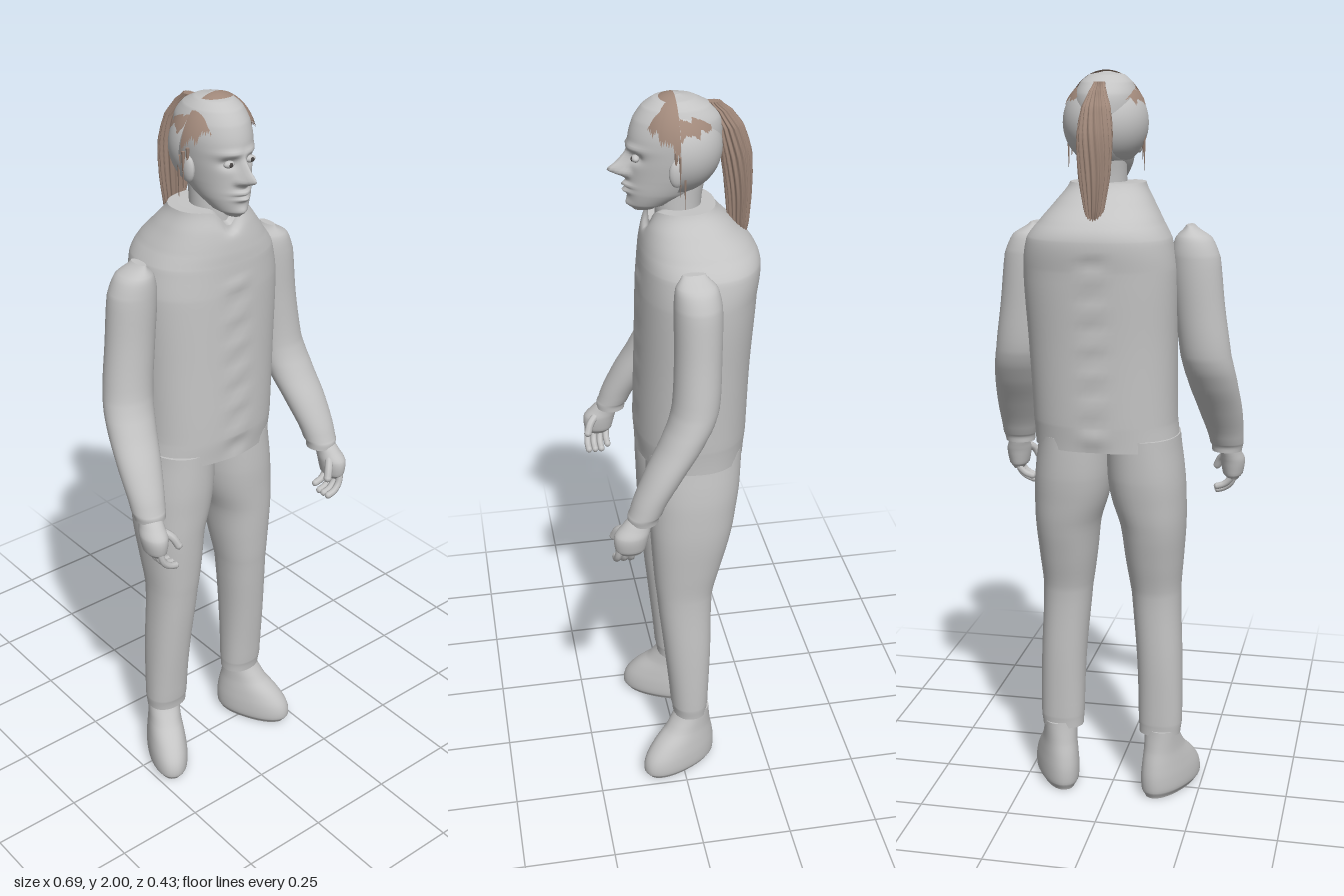
import * as THREE from 'three';

const mat = (name, color, side = THREE.FrontSide) =>
  Object.assign(new THREE.MeshStandardMaterial({ color, side }), { name });

const gauss = (d, s) => Math.exp(-((d / s) ** 2));

// Smooth surface through horizontal sections [y, x0, x1, z0, z1], listed bottom to top
function loft(sections, { power = 2, seg = 40, steps = 5, warp } = {}) {
  const rows = [];
  const n = sections.length;
  for (let i = 0; i < n - 1; i++) {
    const [p, a, b, c] = [sections[Math.max(i - 1, 0)], sections[i], sections[i + 1], sections[Math.min(i + 2, n - 1)]];
    for (let k = 0; k < steps + (i === n - 2 ? 1 : 0); k++) {
      const t = k / steps;
      rows.push(a.map((v, j) => j === 0 ? v + (b[0] - v) * t :
        0.5 * (2 * v + (b[j] - p[j]) * t + (2 * p[j] - 5 * v + 4 * b[j] - c[j]) * t * t + (3 * v - p[j] - 3 * b[j] + c[j]) * t * t * t)));
    }
  }
  const pos = [], idx = [], v = new THREE.Vector3();
  const round = (q) => Math.sign(q) * Math.pow(Math.abs(q), 2 / power);
  const ring = ([y, x0, x1, z0, z1]) => {
    for (let s = 0; s < seg; s++) {
      const a = s / seg * Math.PI * 2;
      v.set((x0 + x1) / 2 + round(Math.cos(a)) * (x1 - x0) / 2, y, (z0 + z1) / 2 + round(Math.sin(a)) * (z1 - z0) / 2);
      if (warp) warp(v, a);
      pos.push(v.x, v.y, v.z);
    }
  };
  rows.forEach(ring);
  for (let r = 0; r < rows.length - 1; r++) {
    for (let s = 0; s < seg; s++) {
      const a = r * seg + s, b = r * seg + (s + 1) % seg;
      idx.push(a, a + seg, b, b, a + seg, b + seg);
    }
  }
  // End caps with their own rings, so rims stay sharp
  [rows[0], rows[rows.length - 1]].forEach((row, top) => {
    const base = pos.length / 3;
    ring(row);
    pos.push((row[1] + row[2]) / 2, row[0], (row[3] + row[4]) / 2);
    for (let s = 0; s < seg; s++) {
      const a = base + s, b = base + (s + 1) % seg;
      idx.push(base + seg, top ? b : a, top ? a : b);
    }
  });
  const g = new THREE.BufferGeometry();
  g.setAttribute('position', new THREE.Float32BufferAttribute(pos, 3));
  g.setIndex(idx);
  g.computeVertexNormals();
  return g;
}

const mirror = (sections, s) => s > 0 ? sections : sections.map(([y, a, b, c, d]) => [y, -b, -a, c, d]);

// Sections symmetric about the head axis: [y, halfWidth, z0, z1]
const CX = 0.016;
const centred = (list) => list.map(([y, w, z0, z1]) => [y, CX - w, CX + w, z0, z1]);

// Patch of an ellipsoid, its upper and lower edges given by functions of the angle
function capPatch(radii, phi0, phiLen, thetaTop, thetaLow) {
  const g = new THREE.SphereGeometry(1, 48, 12, phi0, phiLen);
  const p = g.attributes.position, uv = g.attributes.uv;
  for (let i = 0; i < p.count; i++) {
    const phi = phi0 + uv.getX(i) * phiLen;
    const t0 = thetaTop(phi), th = t0 + (1 - uv.getY(i)) * (thetaLow(phi) - t0);
    p.setXYZ(i, -Math.cos(phi) * Math.sin(th) * radii[0], Math.cos(th) * radii[1], Math.sin(phi) * Math.sin(th) * radii[2]);
  }
  g.computeVertexNormals();
  return g;
}

export function createModel() {
  const model = new THREE.Group();
  model.name = 'standingFigure';
  const grey = mat('bodyGrey', 0xc4c4c4);
  const greyShell = mat('skullGrey', 0xc4c4c4, THREE.DoubleSide);
  const brown = mat('hairBrown', 0xa0887a, THREE.DoubleSide);
  const dark = mat('eyeDark', 0x4a4746);
  const add = (name, geo, material = grey, x = 0, y = 0, z = 0) => {
    const m = new THREE.Mesh(geo, material);
    m.name = name;
    m.position.set(x, y, z);
    model.add(m);
    return m;
  };

  // Shirt, with soft folds down the middle and a dipped neckline
  add('shirt', loft([
    [1.03, -.19, .2, -.185, .1], [1.1, -.182, .205, -.19, .105], [1.3, -.18, .215, -.195, .1],
    [1.5, -.18, .225, -.207, .095], [1.58, -.165, .213, -.215, .09], [1.62, -.143, .183, -.198, .086],
    [1.67, -.115, .143, -.15, .076], [1.72, -.09, .107, -.105, .06],
  ], {
    power: 2.3, seg: 64, steps: 8, warp: (v) => {
      if (v.y < 1.55) v.z += 0.004 * Math.sin(v.y * 75) * gauss(v.x - CX, 0.03);
      if (v.z > 0) v.y -= 0.045 * gauss(v.x - CX, 0.03) * THREE.MathUtils.smoothstep(v.y, 1.64, 1.72);
    },
  }));

  for (const s of [1, -1]) {
    const side = s > 0 ? 'left' : 'right';
    // Trouser leg
    add(side + 'TrouserLeg', loft(mirror([
      [.185, .082, .198, -.075, .022], [.22, .08, .202, -.078, .028], [.4, .074, .2, -.085, .045],
      [.6, .057, .193, -.09, .065], [.7, .042, .2, -.115, .074], [.8, .03, .207, -.14, .08],
      [.88, .006, .207, -.155, .084], [.95, -.004, .203, -.165, .087], [1.06, -.004, .19, -.17, .086],
    ], s), { power: 2.2 }));
    // Foot, turned outwards
    const foot = add(side + 'Foot', loft([
      [0, -.043, .043, -.1, .108], [.02, -.055, .055, -.11, .122], [.06, -.056, .056, -.112, .115],
      [.1, -.052, .052, -.107, .085], [.14, -.047, .047, -.098, .04], [.2, -.046, .046, -.09, .002],
    ], { power: 2.2 }), grey, s * .165, 0, .005);
    foot.rotation.y = s * 0.46;
    // Sleeve
    add(side + 'Sleeve', loft(mirror([
      [.975, .255, .337, .088, .168], [1, .25, .342, .078, .163], [1.1, .225, .343, .02, .122],
      [1.2, .2, .333, -.045, .07], [1.27, .185, .32, -.075, .045], [1.4, .17, .302, -.083, .036],
      [1.53, .16, .288, -.085, .035], [1.58, .17, .265, -.074, .03], [1.612, .197, .218, -.045, .012],
    ], s)));
    // Hand with four curled fingers and a thumb
    add(side + 'Palm', loft(mirror([
      [.885, .295, .325, .135, .19], [.9, .282, .337, .125, .203], [.94, .275, .343, .115, .205],
      [.965, .275, .335, .108, .185], [1, .272, .325, .1, .155],
    ], s), { seg: 24 }));
    const digit = (name, r, pts) => {
      const curve = new THREE.CatmullRomCurve3(pts.map(([x, y, z]) => new THREE.Vector3(s * x, y, z)));
      add(side + name, new THREE.TubeGeometry(curve, 10, r, 8));
      const end = curve.getPoint(1);
      add(side + name + 'Tip', new THREE.SphereGeometry(r, 8, 6), grey, end.x, end.y, end.z);
    };
    for (let i = 0; i < 4; i++) {
      const z = .138 + i * .018, d = i === 0 ? .014 : 0;
      digit('Finger' + (i + 1), .0095, [[.315, .91, z], [.306, .875 + d, z + .004], [.288, .857 + d, z + .006], [.268, .85 + d, z + .005]]);
    }
    digit('Thumb', .011, [[.295, .955, .165], [.272, .935, .19], [.26, .91, .2]]);

    // Ear and loose wisps beside the face
    const ear = add(side + 'Ear', new THREE.SphereGeometry(1, 14, 10), grey, CX + s * .083, 1.825, .005);
    ear.scale.set(.012, .034, .02);
    for (let i = 0; i < 3; i++) {
      const wisp = add(side + 'Wisp', new THREE.ConeGeometry(.005, .12 - i * .02, 5), brown, CX + s * (.1 - i * .006), 1.8 + i * .02, -.012 + i * .01);
      wisp.rotation.x = Math.PI;
    }
    // Eye
    const eye = add(side + 'Eye', new THREE.SphereGeometry(1, 14, 10), grey, CX + s * .033, 1.852, .098);
    eye.scale.set(.015, .009, .01);
    const pupil = add(side + 'Pupil', new THREE.SphereGeometry(1, 10, 8), dark, CX + s * .033, 1.852, .106);
    pupil.scale.set(.006, .006, .003);
  }

  // Neck and head
  add('neck', loft(centred([[1.6, .07, -.085, .045], [1.68, .056, -.07, .045], [1.73, .054, -.07, .045], [1.8, .055, -.08, .04]])));
  add('head', loft(centred([
    [1.712, .018, .045, .098], [1.728, .041, .005, .11], [1.76, .06, -.06, .115], [1.8, .072, -.1, .113],
    [1.85, .081, -.115, .112], [1.9, .085, -.12, .11], [1.94, .08, -.115, .098], [1.97, .066, -.09, .077],
    [1.988, .045, -.055, .05], [1.996, .01, -.015, .012],
  ]), {
    seg: 96, steps: 9, warp: (v) => {
      if (v.z < .03) return;
      const dx = Math.abs(v.x - CX), y = v.y;
      const bump = (x, h, sx, sy) => gauss(dx - x, sx) * gauss(y - h, sy);
      v.z += .042 * bump(0, 1.815, .014, .016) + .022 * bump(0, 1.838, .01, .022)   // nose
        + .012 * bump(.016, 1.809, .008, .008)                                      // nostrils
        - .014 * bump(.033, 1.853, .019, .013) + .008 * bump(.03, 1.876, .03, .009) // sockets, brows
        + .014 * bump(0, 1.778, .024, .006) + .013 * bump(0, 1.763, .02, .006)      // lips
        - .005 * bump(0, 1.7705, .025, .003) + .008 * bump(0, 1.728, .02, .012);    // mouth, chin
    },
  }));

  // Back of the skull, an open half shell
  const skull = new THREE.SphereGeometry(1, 40, 28, Math.PI, Math.PI);
  skull.scale(.112, .115, .12);
  add('skullShell', skull, greyShell, CX + .003, 1.868, 0);

  // Hair: front cap with a ragged hairline, a band behind, a crown patch and the tail
  const rag = (phi) => .06 * Math.sin(phi * 17) + .04 * Math.sin(phi * 29 + 1);
  add('hairFront', capPatch([.108, .135, .1], 0, Math.PI, () => 0,
    (phi) => 1.5 - .52 * Math.sin(phi) + rag(phi)), brown, CX + .003, 1.865, 0);
  add('hairBand', capPatch([.115, .118, .123], Math.PI, Math.PI,
    (phi) => .62 + .12 * Math.cos(phi) ** 2 + rag(phi),
    (phi) => .98 + .15 * Math.cos(phi) ** 2 + rag(phi + 1)), brown, CX + .003, 1.868, 0);
  add('hairCrown', capPatch([.113, .117, .122], Math.PI, Math.PI, () => 0, () => .22), brown, CX, 1.871, 0);
  add('ponytail', loft(centred([
    [1.6, .006, -.18, -.166], [1.66, .024, -.19, -.142], [1.75, .038, -.195, -.132], [1.84, .042, -.193, -.12],
    [1.91, .034, -.172, -.108], [1.95, .02, -.142, -.092], [1.972, .013, -.115, -.078],
  ]), {
    seg: 96, steps: 6, warp: (v, a) => {
      const k = .1 * Math.sin(a * 16 + 3 * Math.sin(v.y * 12));
      v.x += (v.x - CX) * k;
      v.z += Math.sin(a) * .03 * k;
    },
  }), brown);
  return model;
}
